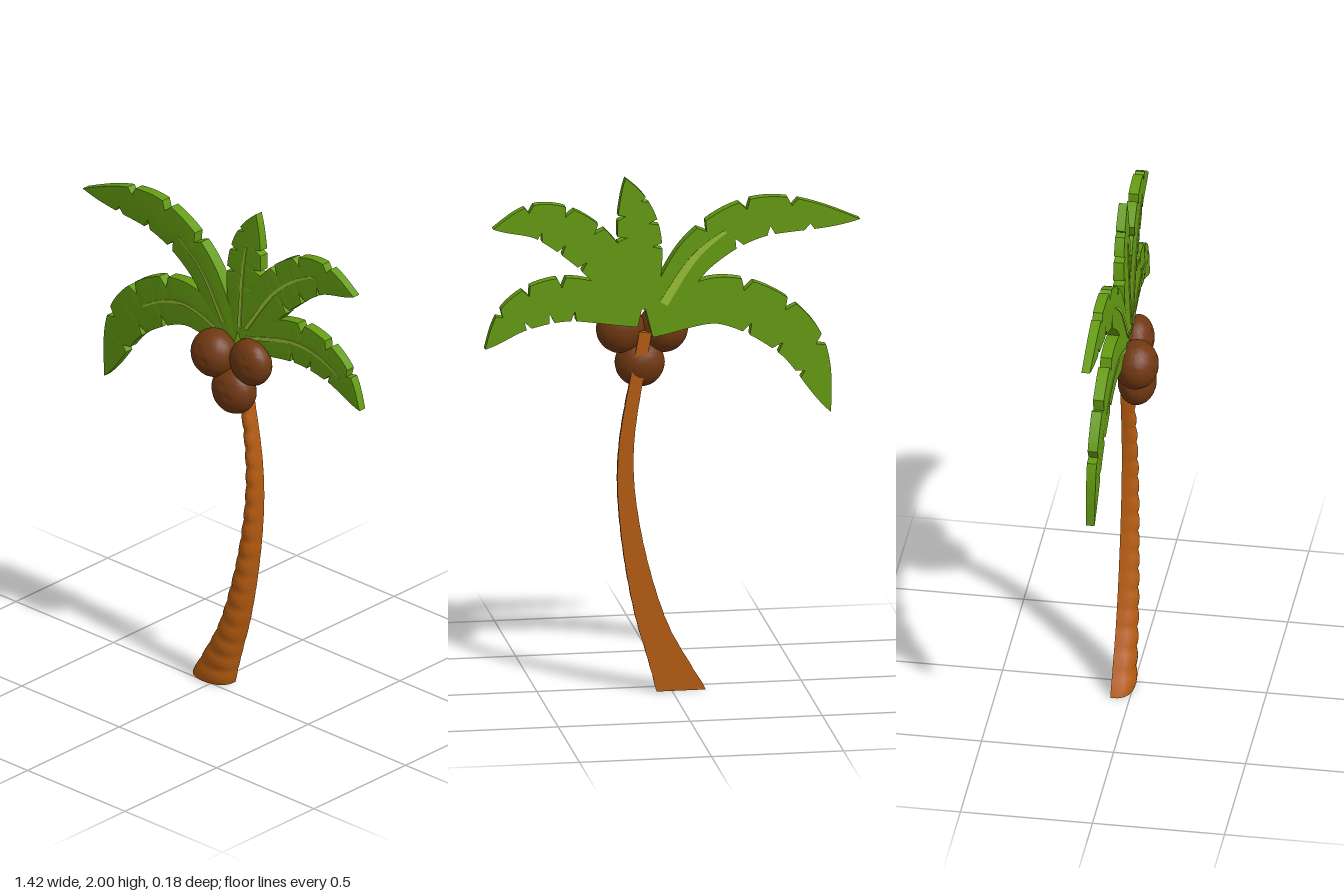
import * as THREE from 'three';
import { toCreasedNormals } from 'three/addons/utils/BufferGeometryUtils.js';

const mat = (name, color) => Object.assign(new THREE.MeshStandardMaterial({ color }), { name });
const leafGreen = mat('leaf green', 0x649c12);
const ribGreen = mat('rib light green', 0x98c032);
const bark = mat('bark brown', 0xb65c10);
const husk = mat('coconut brown', 0x703812);

const { lerp } = THREE.MathUtils;
const curve = (pts) => new THREE.CatmullRomCurve3(pts.map(([x, y]) => new THREE.Vector3(x, y, 0)));

// Unit vector to the right of the curve's direction, seen from the front
function rightOf(path, t) {
  const d = path.getTangentAt(t);
  return new THREE.Vector3(d.y, -d.x, 0);
}

// Skin a row of equal-length cross-sections, each running right-back, front, left-back
function loft(sections, crease) {
  const n = sections[0].length, pos = [], idx = [];
  sections.forEach((s) => s.forEach((p) => pos.push(p.x, p.y, p.z)));
  for (let i = 0; i < sections.length - 1; i++) {
    for (let j = 0; j < n; j++) {
      const a = i * n + j, b = i * n + (j + 1) % n;
      idx.push(a, a + n, b + n, a, b + n, b);
    }
  }
  const top = (sections.length - 1) * n;
  for (let j = 1; j < n - 1; j++) idx.push(0, j, j + 1, top, top + j + 1, top + j);
  const g = new THREE.BufferGeometry();
  g.setAttribute('position', new THREE.Float32BufferAttribute(pos, 3));
  g.setIndex(idx);
  return toCreasedNormals(g, crease);
}

// Sweep a cross-section rule along a path; the rule returns [offset to the right, z] pairs
function sweep(path, t0, t1, steps, rule, crease, sideAt = (t) => rightOf(path, t)) {
  const sections = [];
  for (let i = 0; i <= steps; i++) {
    const t = lerp(t0, t1, i / steps), p = path.getPointAt(t), side = sideAt(t);
    sections.push(rule(t, i).map(([w, z]) => p.clone().addScaledVector(side, w).setZ(z)));
  }
  return loft(sections, crease);
}

function mesh(name, geometry, material) {
  const m = new THREE.Mesh(geometry, material);
  m.name = name;
  return m;
}

// Flat-backed trunk with bulging bark rings, level at the ground
function makeTrunk() {
  const path = curve([[-0.035, 0], [0.08, 0.28], [0.162, 0.67], [0.173, 0.945], [0.1, 1.395]]);
  const rings = 19, steps = 5;
  const level = new THREE.Vector3(1.32, 0, 0);
  const side = (t) => level.clone().lerp(rightOf(path, t), Math.min(1, t / 0.15));
  const section = (t, i) => {
    const bulge = Math.sqrt(Math.sin(Math.PI * ((i % steps) / steps + 0.02)));
    const width = (0.024 + 0.048 * (1 - t) ** 2) * (0.97 + 0.03 * bulge);
    const depth = lerp(0.076, 0.034, t) + 0.009 * bulge;
    return Array.from({ length: 15 }, (_, j) => {
      const a = Math.PI * j / 14;
      return [width * Math.cos(a), -0.072 + depth * Math.abs(Math.sin(a)) ** 0.7];
    });
  };
  return mesh('trunk', sweep(path, 0, 1, rings * steps, section, 0.7, side), bark);
}

// Palm leaf: notched edges, slightly folded front, flat back, raised rib
function makeLeaf({ name, spine, size, rib, backRib }) {
  const group = new THREE.Group();
  group.name = name;
  const path = curve(spine);
  const edgeZ = (t) => lerp(-0.038, -0.056, t);
  const ridgeZ = (t) => edgeZ(t) + 0.008 * (1 - t);
  const width = (t) => size * (0.55 + t) * (1 - t ** 2.5);
  // V-shaped cuts every 0.17 along an edge, from the given start
  const notch = (t, start) => {
    const k = Math.round((t - start) / 0.17);
    if (k < 0 || k > 2) return 1;
    return 1 - 0.45 * Math.max(0, 1 - Math.abs(t - start - k * 0.17) / 0.02);
  };
  const blade = (t) => {
    const r = width(t) * notch(t, 0.38), l = -width(t) * notch(t, 0.46);
    return [[r, -0.088], [r, edgeZ(t)], [0, ridgeZ(t)], [l, edgeZ(t)], [l, -0.088]];
  };
  group.add(mesh('leafBlade', sweep(path, 0, 1, 100, blade, 0.5), leafGreen));

  // Tapered rib strip between two depths
  const strip = (w, back, front) => sweep(path, 0.05, rib, 20, (t) => {
    const h = w * (1 - 0.6 * (t / rib) ** 2);
    return [[h, back(t)], [h, front(t)], [-h, front(t)], [-h, back(t)]];
  }, 0.5);
  group.add(mesh('leafRib', strip(0.008, (t) => ridgeZ(t) - 0.006, (t) => ridgeZ(t) + 0.003), ribGreen));
  if (backRib) group.add(mesh('leafBackRib', strip(0.017, () => -0.09, () => -0.085), ribGreen));
  return group;
}

const leaves = [
  { name: 'upperRightLeaf', size: 0.092, rib: 0.44, backRib: true,
    spine: [[0.06, 1.47], [-0.11, 1.71], [-0.32, 1.825], [-0.71, 1.805]] },
  { name: 'lowerRightLeaf', size: 0.112, rib: 0.54,
    spine: [[0.09, 1.44], [-0.195, 1.51], [-0.465, 1.36], [-0.6, 1.06]] },
  { name: 'middleLeaf', size: 0.096, rib: 0.7,
    spine: [[0.115, 1.49], [0.125, 1.76], [0.145, 1.885], [0.178, 2]] },
  { name: 'upperLeftLeaf', size: 0.102, rib: 0.72,
    spine: [[0.13, 1.495], [0.32, 1.745], [0.495, 1.845], [0.68, 1.825]] },
  { name: 'lowerLeftLeaf', size: 0.098, rib: 0.78,
    spine: [[0.12, 1.475], [0.41, 1.54], [0.58, 1.49], [0.71, 1.36]] },
];

// Slightly lumpy coconut with three dimples on its front
function makeCoconut(name, x, y, z, r, rz, lean) {
  const g = new THREE.SphereGeometry(1, 44, 32);
  const p = g.attributes.position, v = new THREE.Vector3();
  const eyes = [0, 1, 2].map((k) => {
    const a = Math.PI / 2 + k * Math.PI * 2 / 3;
    return new THREE.Vector3(lean + 0.28 * Math.cos(a), 0.1 + 0.28 * Math.sin(a), 0.9).normalize();
  });
  for (let i = 0; i < p.count; i++) {
    v.fromBufferAttribute(p, i);
    let s = 1 + 0.008 * Math.sin(9 * v.x + 4 * v.y) * Math.sin(8 * v.y + 5 * v.z);
    eyes.forEach((e) => { s -= 0.07 * Math.exp(-((v.distanceTo(e) / 0.12) ** 2)); });
    v.multiplyScalar(s);
    p.setXYZ(i, x + v.x * r, y + v.y * r, z + v.z * rz);
  }
  return mesh(name, toCreasedNormals(g, 1), husk);
}

export function createModel() {
  const tree = new THREE.Group();
  tree.name = 'palmTree';
  tree.add(makeTrunk());
  leaves.forEach((l) => tree.add(makeLeaf(l)));
  tree.add(
    makeCoconut('rightCoconut', 0.022, 1.392, 0.003, 0.094, 0.084, -0.1),
    makeCoconut('leftCoconut', 0.187, 1.4, -0.02, 0.092, 0.064, 0.1),
    makeCoconut('lowerCoconut', 0.112, 1.265, -0.008, 0.094, 0.073, 0),
  );
  return tree;
}
